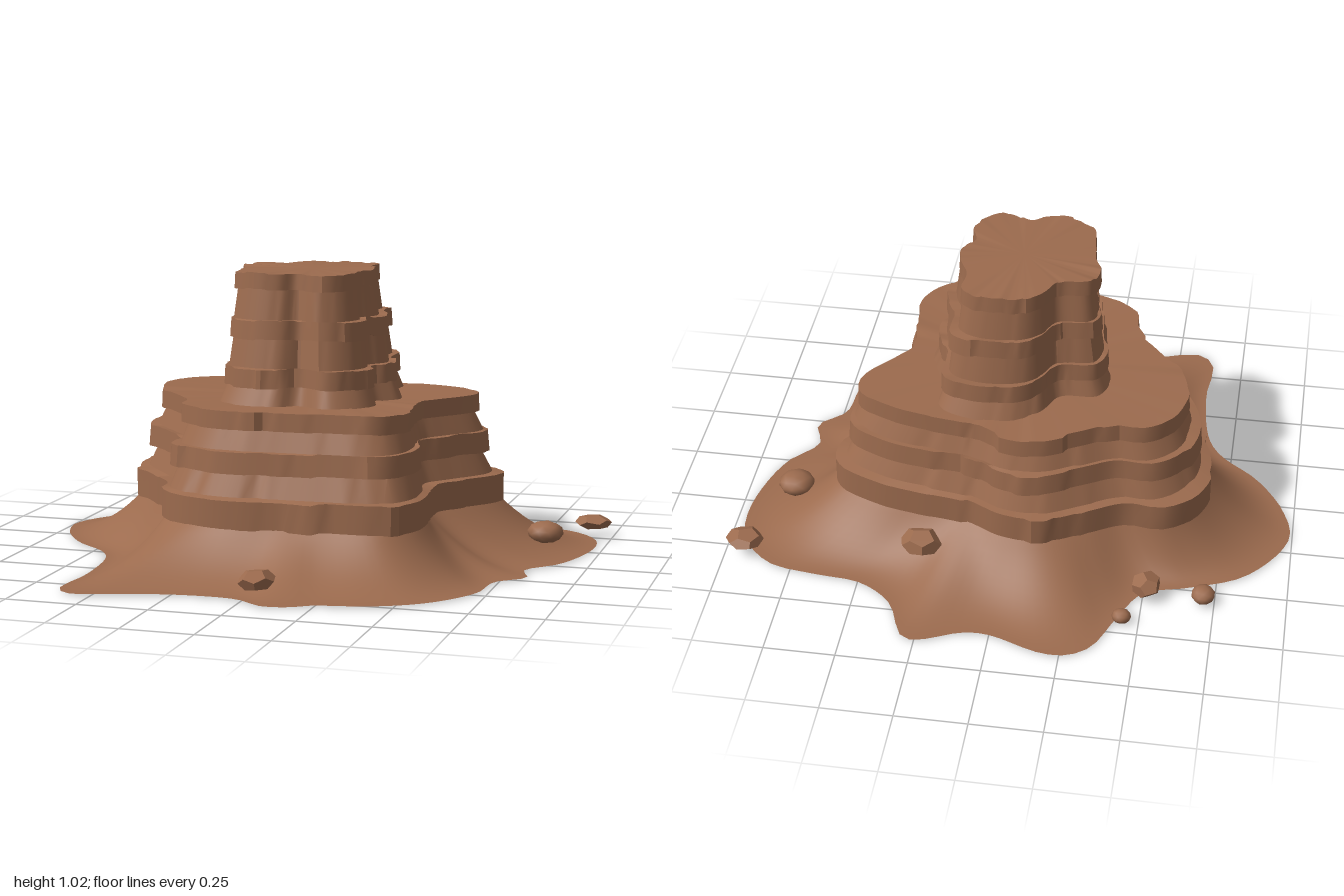
import * as THREE from 'three';
import { toCreasedNormals } from 'three/addons/utils/BufferGeometryUtils.js';

const N = 132; // points around every ring

function seeded(seed) {
  return () => {
    seed = (seed * 16807) % 2147483647;
    return seed / 2147483647;
  };
}

// Plan outlines as x, z pairs
const SKIRT = [-.99, -.18, -.85, -.4, -.66, -.49, -.5, -.545, -.42, -.69, -.35, -.84, -.27, -.89, -.18, -.89, 0, -.83,
  .085, -.83, .28, -.89, .37, -.72, .49, -.635, .65, -.615, .83, -.58, .945, -.46, .97, -.29, .9, -.02, .8, .11,
  .83, .22, .74, .315, .715, .49, .59, .67, .43, .765, .245, .81, .175, .855, .085, .865, -.02, .8, -.235, .8,
  -.395, .84, -.58, .885, -.635, .82, -.625, .62, -.66, .35, -.715, .255, -.85, .14, -.955, -.02];
const MESA = [-.71, -.155, -.66, -.315, -.555, -.395, -.42, -.395, -.29, -.46, -.13, -.535, .005, -.53, .14, -.47,
  .325, -.44, .485, -.405, .645, -.315, .655, -.21, .54, -.05, .47, .06, .5, .245, .485, .405, .405, .5, .19, .52,
  .03, .525, -.18, .535, -.315, .5, -.435, .405, -.45, .3, -.555, .165, -.675, .005];
const TOWER = [-.285, .005, -.31, -.06, -.28, -.165, -.15, -.19, -.095, -.28, -.02, -.335, .14, -.35, .245, -.3,
  .25, -.18, .295, -.075, .305, .005, .25, .085, .27, .165, .235, .255, .14, .315, .03, .265, -.03, .305, -.13, .31,
  -.245, .255, -.27, .15];

// Turns an outline into N radii at even angles
function radii(flat) {
  const pts = [];
  for (let i = 0; i < flat.length; i += 2) pts.push(new THREE.Vector3(flat[i], 0, flat[i + 1]));
  const polar = new THREE.CatmullRomCurve3(pts, true, 'centripetal').getPoints(600)
    .map(p => [Math.atan2(p.z, p.x), Math.hypot(p.x, p.z)])
    .sort((a, b) => a[0] - b[0]);
  return Array.from({ length: N }, (_, i) => {
    const angle = -Math.PI + (i / N) * Math.PI * 2;
    const k = Math.max(1, polar.findIndex(p => p[0] >= angle));
    const [a, b] = [polar[k - 1], polar[k]];
    const t = THREE.MathUtils.clamp((angle - a[0]) / (b[0] - a[0] || 1), 0, 1);
    return a[1] + (b[1] - a[1]) * t;
  });
}

function ring(radius, y, dx = 0) {
  return Array.from({ length: N }, (_, i) => {
    const a = -Math.PI + (i / N) * Math.PI * 2;
    const r = radius(i);
    return [Math.cos(a) * r + dx, typeof y === 'function' ? y(i) : y, Math.sin(a) * r];
  });
}

// Joins rings from bottom to top, with an optional flat lid
function loft(rings, lid) {
  const pos = rings.flat(2);
  const index = [];
  for (let j = 0; j < rings.length - 1; j++) {
    for (let i = 0; i < N; i++) {
      const a = j * N + i, b = j * N + (i + 1) % N;
      index.push(a, a + N, b, b, a + N, b + N);
    }
  }
  if (lid !== undefined) {
    const c = pos.length / 3, s = (rings.length - 1) * N;
    pos.push(0, lid, 0);
    for (let i = 0; i < N; i++) index.push(s + i, c, s + (i + 1) % N);
  }
  const g = new THREE.BufferGeometry();
  g.setAttribute('position', new THREE.Float32BufferAttribute(pos, 3));
  g.setIndex(index);
  return g;
}

// Random offsets held over short runs, giving blocky cracked rock
function blocks(rand, amount) {
  const out = [];
  while (out.length < N) {
    const v = (rand() - 0.5) * 2 * amount;
    const run = 2 + Math.floor(rand() * 7);
    for (let k = 0; k < run; k++) out.push(v);
  }
  return out;
}

// Stack of hard ledges with softer, recessed rock between them
// each layer: [y bottom, y top, scale bottom, scale top, x shift, is ledge]
function strata(outline, layers, seed, rough) {
  const rand = seeded(seed);
  const rings = [];
  for (const [y0, y1, s0, s1, dx, ledge] of layers) {
    const off = blocks(rand, ledge ? rough : rough * 0.6);
    const lift = blocks(rand, ledge ? 0.004 : 0);
    rings.push(ring(i => outline[i] * s0 + off[i], i => y0 + lift[i], dx));
    rings.push(ring(i => outline[i] * s1 + off[i], i => y1 + lift[i], dx));
  }
  return toCreasedNormals(loft(rings, layers[layers.length - 1][1]), 0.5);
}

export function createModel() {
  const group = new THREE.Group();
  const rock = new THREE.MeshStandardMaterial({ color: 0x9c6b4e, side: THREE.DoubleSide });
  rock.name = 'red brown rock';
  const add = (name, geometry) => {
    const mesh = new THREE.Mesh(geometry, rock);
    mesh.name = name;
    group.add(mesh);
    return mesh;
  };

  const skirt = radii(SKIRT), mesa = radii(MESA), tower = radii(TOWER);

  // Smooth scree slope, open underneath
  const slope = [];
  for (let j = 0; j <= 12; j++) {
    const t = j / 12;
    slope.push(ring(i => THREE.MathUtils.lerp(skirt[i], mesa[i] * 0.95, t), 0.01 + 0.18 * t ** 2));
  }
  const slopeGeometry = loft(slope);
  slopeGeometry.computeVertexNormals();
  add('screeSlope', slopeGeometry);

  // Broad lower mesa
  add('lowerMesa', strata(mesa, [
    [0.18, 0.18, 0.93, 0.93, 0, false],
    [0.18, 0.28, 0.985, 0.985, 0, true],
    [0.285, 0.365, 0.92, 0.86, 0, false],
    [0.365, 0.44, 0.91, 0.90, 0, true],
    [0.44, 0.51, 0.86, 0.81, 0, false],
    [0.51, 0.573, 0.85, 0.845, 0, true],
  ], 41, 0.011));

  // Narrow upper tower
  add('upperTower', strata(tower, [
    [0.57, 0.64, 1.04, 0.95, 0, false],
    [0.635, 0.70, 0.99, 0.98, 0, true],
    [0.70, 0.805, 0.91, 0.86, -0.005, false],
    [0.80, 0.865, 0.90, 0.885, -0.005, true],
    [0.865, 0.975, 0.83, 0.78, -0.015, false],
    [0.97, 1.026, 0.81, 0.80, -0.02, true],
  ], 97, 0.006));

  // Loose boulders: x, y, z, half sizes, turn
  const stones = [
    [0.04, 0.07, 0.76, 0.062, 0.036, 0.085, 0.3],
    [0.81, 0.08, -0.21, 0.066, 0.04, 0.064, 1.1],
    [0.93, 0.062, -0.52, 0.068, 0.028, 0.062, 0.5],
    [-0.71, 0.04, -0.55, 0.042, 0.03, 0.044, 2.0],
    [-0.51, 0.06, -0.55, 0.054, 0.04, 0.06, 0.9],
    [-0.44, 0.03, -0.69, 0.034, 0.026, 0.03, 1.6],
    [0.29, 0.12, -0.51, 0.075, 0.045, 0.065, 0.2],
  ];
  stones.forEach(([x, y, z, sx, sy, sz, turn], n) => {
    const g = n % 2 ? new THREE.IcosahedronGeometry(1, 1) : new THREE.DodecahedronGeometry(1);
    g.rotateY(turn).rotateX(turn * 0.7).scale(sx, sy, sz);
    add('boulder' + (n + 1), g).position.set(x, y, z);
  });
  return group;
}
